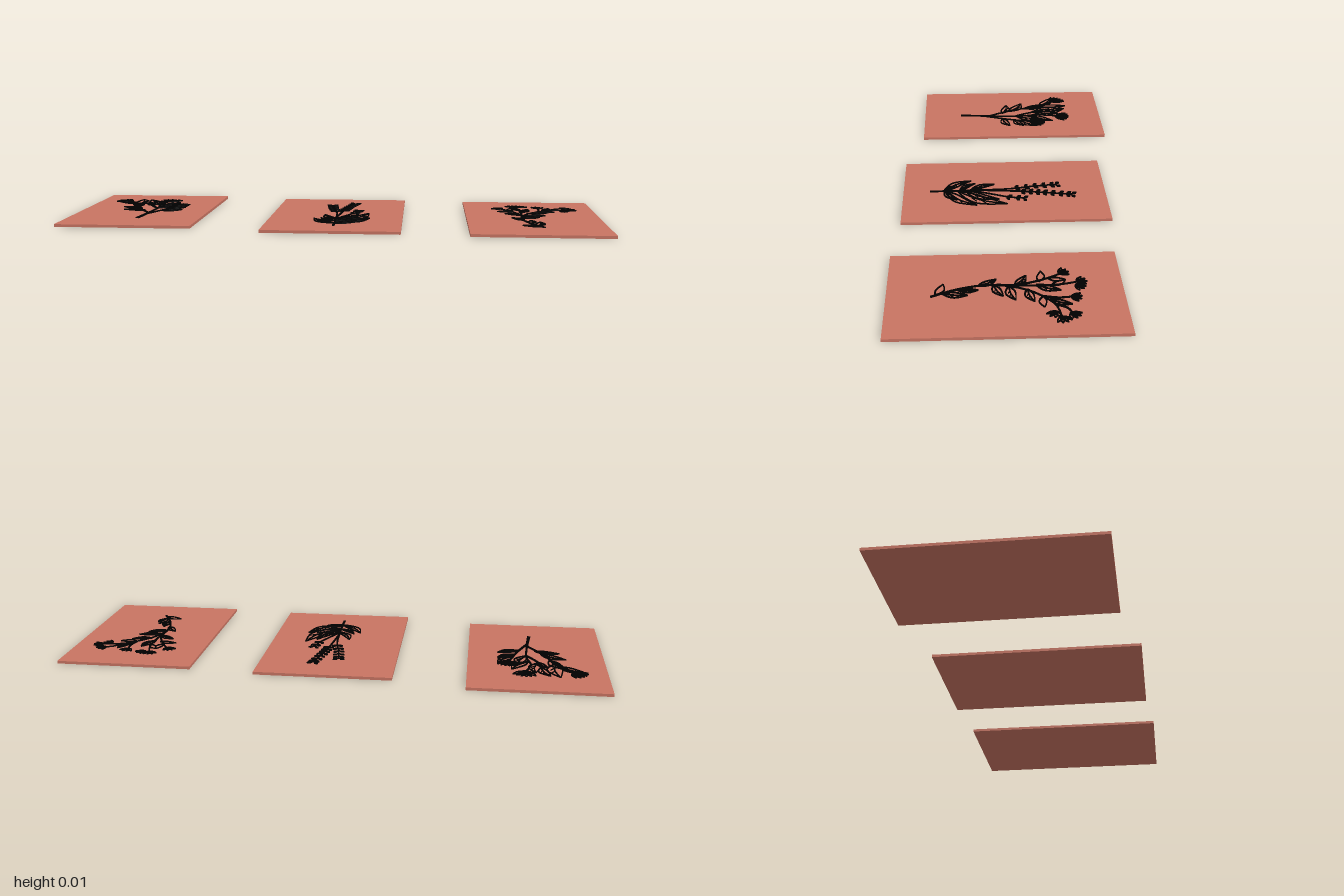
import * as THREE from 'three';
import { mergeGeometries } from 'three/addons/utils/BufferGeometryUtils.js';

const PLATE = 0.01, RELIEF = 0.0042;

// Raised ribbon following a smooth path of [x, z] points
function stroke(points, width = 0.007, segments = 12) {
  const curve = new THREE.SplineCurve(points.map(([x, z]) => new THREE.Vector2(x, -z)));
  const left = [], right = [];
  for (let i = 0; i <= segments; i++) {
    const t = i / segments, p = curve.getPoint(t), d = curve.getTangent(t);
    const w = width * 0.5 * (1 - 0.35 * t);
    left.push(new THREE.Vector2(p.x - d.y * w, p.y + d.x * w));
    right.unshift(new THREE.Vector2(p.x + d.y * w, p.y - d.x * w));
  }
  const g = new THREE.ExtrudeGeometry(new THREE.Shape([...left, ...right]), { depth: RELIEF, bevelEnabled: false });
  return g.rotateX(-Math.PI / 2).translate(0, PLATE, 0);
}

// Outlined leaf from base to tip, optionally with midrib and side veins
function leaf([x0, z0], [x1, z1], fat = 0.2, bend = 0.08, veins = true) {
  const dx = x1 - x0, dz = z1 - z0;
  const at = (t, s) => [x0 + dx * t - dz * s, z0 + dz * t + dx * s];
  const line = veins ? 0.006 : 0.0055;
  const side = (s) => [at(0, 0), at(0.3, bend * 0.7 + s * fat * 0.8), at(0.6, bend + s * fat * 0.85), at(1, 0)];
  const out = [stroke(side(1), line, 10), stroke(side(-1), line, 10)];
  if (veins) {
    out.push(stroke([at(0, 0), at(0.5, bend), at(0.9, bend * 0.3)], 0.005, 8));
    for (const t of [0.35, 0.55])
      out.push(stroke([at(t, bend), at(t + 0.14, bend + fat * 0.5)], 0.003, 2));
  }
  return out;
}

// Fan of narrow petals opening around an angle (0 points to -z)
function flower([x, z], angle, size, petals = 5) {
  const out = [];
  for (let i = 0; i < petals; i++) {
    const a = angle + (i / (petals - 1) - 0.5) * 1.5;
    out.push(...leaf([x, z], [x + Math.sin(a) * size, z - Math.cos(a) * size], 0.17, 0, false));
  }
  return out;
}

// Alternating small buds up a stem
function buds(points, from, count, size) {
  const curve = new THREE.SplineCurve(points.map((p) => new THREE.Vector2(...p)));
  const out = [];
  for (let i = 0; i < count; i++) {
    const t = from + (1 - from) * i / (count - 1);
    const p = curve.getPoint(t), d = curve.getTangent(t);
    for (const s of [-1, 1]) {
      const a = Math.atan2(d.x, -d.y) + s * 0.85;
      const tip = (r) => [p.x + Math.sin(a) * r, p.y - Math.cos(a) * r];
      out.push(stroke([[p.x, p.y], tip(size * 0.5)], 0.005, 2));
      out.push(...leaf(tip(size * 0.4), tip(size * 1.1), 0.32, 0, false));
    }
  }
  return out;
}

// Broad-leaved sprig with three blossoms
function blossomSprig() {
  const out = [
    [[-0.733, 0.185], [-0.722, 0.056], [-0.716, -0.08], [-0.73, -0.16], [-0.71, -0.24]],
    [[-0.722, 0.06], [-0.78, -0.04], [-0.82, -0.14], [-0.88, -0.24]],
    [[-0.725, 0.09], [-0.69, 0], [-0.665, -0.08], [-0.65, -0.14]],
    [[-0.717, -0.06], [-0.755, -0.13], [-0.765, -0.2]],
  ].map((p) => stroke(p, 0.009, 20));
  out.push(stroke([[-0.733, 0.185], [-0.726, 0.11], [-0.722, 0.056]], 0.013));
  out.push(
    ...flower([-0.71, -0.235], 0.15, 0.06, 6), ...flower([-0.875, -0.235], -0.9, 0.055, 6),
    ...flower([-0.65, -0.13], 0.1, 0.055, 6));
  const leaves = [
    [-0.82, -0.14, -0.83, -0.29], [-0.8, -0.1, -0.85, -0.2], [-0.77, -0.03, -0.86, -0.09],
    [-0.75, 0, -0.84, -0.02], [-0.765, -0.19, -0.795, -0.28], [-0.755, -0.14, -0.745, -0.25],
    [-0.83, -0.17, -0.92, -0.23], [-0.72, -0.13, -0.66, -0.22], [-0.715, -0.06, -0.685, -0.17],
    [-0.67, -0.07, -0.61, -0.15], [-0.675, -0.05, -0.61, -0.09], [-0.69, 0, -0.61, -0.03],
    [-0.755, -0.13, -0.79, -0.19],
  ];
  leaves.forEach(([a, b, c, d]) => out.push(...leaf([a, b], [c, d])));
  return out;
}

// Upright sprig with budded spikes and long lower leaves
function spikeSprig() {
  const spikes = [
    [[0.012, 0.12], [0.005, 0], [-0.015, -0.1], [-0.025, -0.18]],
    [[0.012, 0.12], [0.025, -0.02], [0.04, -0.13], [0.06, -0.235]],
    [[0.015, 0.14], [0.05, 0.06], [0.075, 0], [0.085, -0.05]],
  ];
  const out = spikes.map((p) => stroke(p, 0.007, 20));
  out.push(stroke([[0.015, 0.305], [0.015, 0.22], [0.012, 0.12]], 0.009));
  out.push(...buds(spikes[0], 0.4, 6, 0.024), ...buds(spikes[1], 0.4, 8, 0.024), ...buds(spikes[2], 0.6, 3, 0.022));
  const leaves = [
    [0.015, 0.25, -0.07, 0.145], [0.015, 0.25, -0.025, 0.21], [0.015, 0.24, 0.137, 0.125],
    [0.015, 0.2, 0.13, 0.01], [0.015, 0.25, 0.09, 0.2], [0.013, 0.15, -0.035, 0.055],
    [0.013, 0.17, 0.09, 0.04], [0.013, 0.19, -0.045, 0.13],
  ];
  leaves.forEach(([a, b, c, d]) => out.push(...leaf([a, b], [c, d], 0.14, c > 0 ? 0.1 : -0.1)));
  return out;
}

// Curved sprig arching to one side with small blossoms
function archingSprig() {
  const out = [
    [[0.77, 0.285], [0.725, 0.19], [0.705, 0.08], [0.74, -0.03], [0.82, -0.11], [0.9, -0.13]],
    [[0.705, 0.07], [0.715, -0.06], [0.71, -0.14], [0.695, -0.2]],
    [[0.71, 0], [0.68, -0.08], [0.64, -0.15]],
    [[0.78, -0.08], [0.79, -0.13], [0.785, -0.18]],
    [[0.83, -0.115], [0.85, -0.15], [0.88, -0.165]],
  ].map((p) => stroke(p, 0.008, 20));
  const blossoms = [
    [0.9, -0.13, 1.3], [0.88, -0.16, 0.8], [0.785, -0.17, 0.2], [0.695, -0.195, -0.3],
    [0.64, -0.14, -0.5], [0.715, -0.19, 0.5], [0.87, -0.115, 2],
  ];
  blossoms.forEach(([x, z, a]) => out.push(...flower([x, z], a, 0.036, 4)));
  const leaves = [
    [0.76, 0.27, 0.695, 0.245], [0.75, 0.25, 0.765, 0.165], [0.73, 0.2, 0.735, 0.13],
    [0.71, 0.13, 0.67, 0.07], [0.705, 0.08, 0.775, 0.05], [0.715, 0.03, 0.8, 0.01],
    [0.71, 0.01, 0.65, -0.03], [0.735, -0.03, 0.81, -0.05], [0.69, -0.07, 0.625, -0.08],
    [0.71, -0.06, 0.745, -0.14], [0.67, -0.1, 0.68, -0.16], [0.78, -0.08, 0.845, -0.08],
    [0.8, -0.1, 0.83, -0.17], [0.715, -0.11, 0.68, -0.16],
  ];
  leaves.forEach(([a, b, c, d]) => out.push(...leaf([a, b], [c, d], 0.2, 0.06, Math.hypot(c - a, d - b) > 0.07)));
  return out;
}

export function createModel() {
  const group = new THREE.Group();
  const clay = new THREE.MeshStandardMaterial({ color: 0xc87462 });
  const ink = new THREE.MeshStandardMaterial({ color: 0x000000 });
  const cards = [
    ['left', -0.75, -0.045, blossomSprig],
    ['middle', 0.01, 0.018, spikeSprig],
    ['right', 0.75, 0.042, archingSprig],
  ];
  for (const [name, x, z, sprig] of cards) {
    const plate = new THREE.Mesh(new THREE.BoxGeometry(0.5, PLATE, 0.776), clay);
    plate.position.set(x, PLATE / 2, z);
    plate.name = name + 'Plate';
    const drawing = new THREE.Mesh(mergeGeometries(sprig()), ink);
    drawing.name = name + 'Sprig';
    group.add(plate, drawing);
  }
  return group;
}
